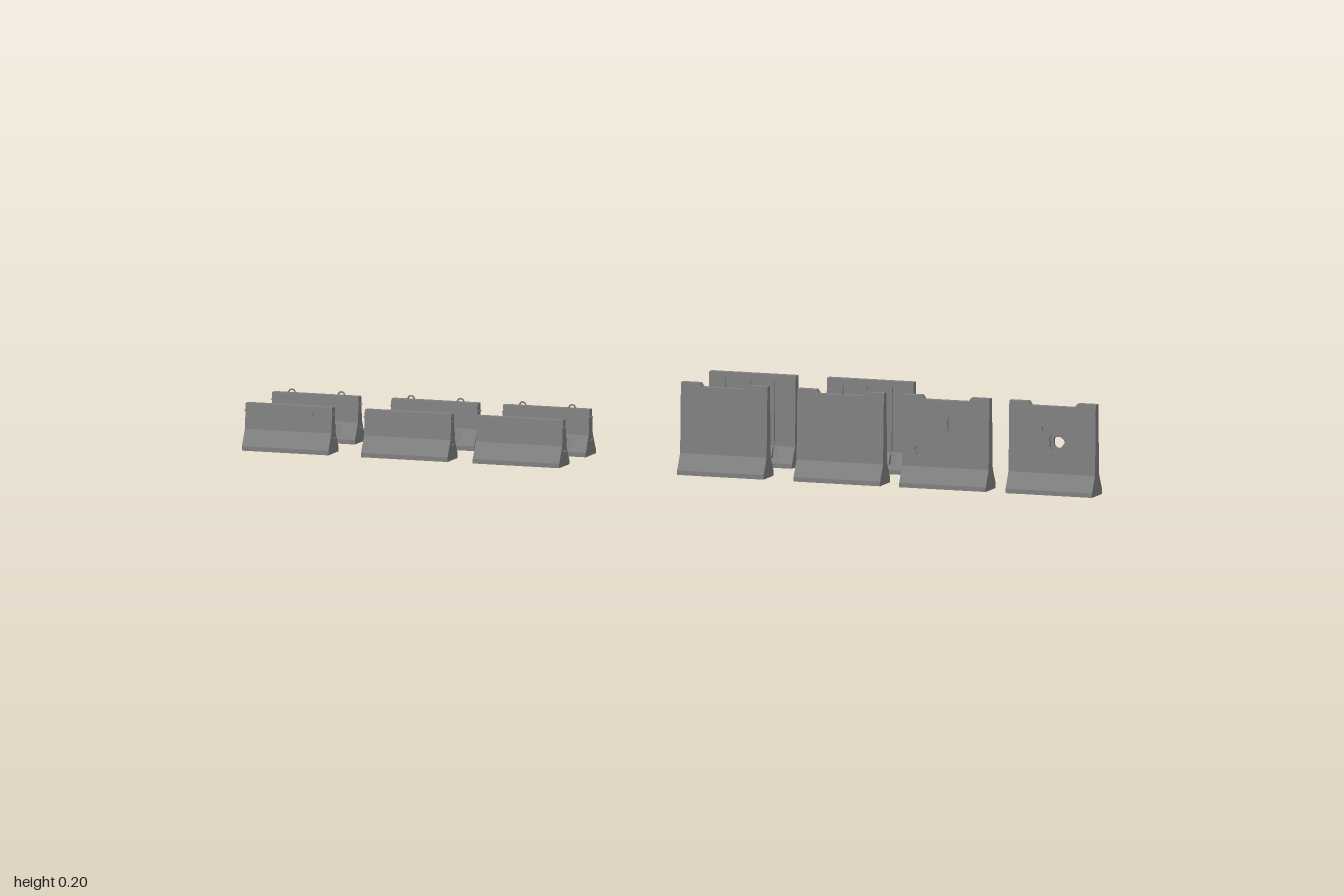
import * as THREE from 'three';

const concrete = new THREE.MeshStandardMaterial({ color: 0x808080 });
concrete.name = 'concrete grey';

const WIDTH = 0.203;
const FOOT = 0.01, WAIST = 0.046;           // heights where the profile bends
const HALF = [0.032, 0.032, 0.013, 0.008];  // half thickness at ground, foot, waist, top

function halfThickness(y, height) {
  const ys = [0, FOOT, WAIST, height];
  let i = 0;
  while (i < 2 && y > ys[i + 1] + 1e-6) i++;
  return THREE.MathUtils.lerp(HALF[i], HALF[i + 1], (y - ys[i]) / (ys[i + 1] - ys[i]));
}

const polygon = (pts) => pts.map(([x, y]) => new THREE.Vector2(x, y));
const rect = (x0, y0, x1, y1) => polygon([[x0, y0], [x1, y0], [x1, y1], [x0, y1]]);

// Chipped, slightly irregular round opening
function crater(x, y, rx, ry = rx, tilt = 0) {
  const pts = [];
  for (let i = 0; i < 14; i++) {
    const a = (i / 14) * Math.PI * 2;
    const k = 1 + 0.08 * Math.sin(3 * a + 1) + 0.06 * Math.cos(5 * a);
    const u = Math.cos(a) * rx * k, v = Math.sin(a) * ry * k;
    pts.push([x + u * Math.cos(tilt) - v * Math.sin(tilt), y + u * Math.sin(tilt) + v * Math.cos(tilt)]);
  }
  return polygon(pts);
}

// Outline extruded between two fractions of the tapering thickness
function slab(name, outline, holes, f0, f1, height) {
  const shape = new THREE.Shape(outline);
  holes.forEach((h) => shape.holes.push(new THREE.Path(h)));
  const geo = new THREE.ExtrudeGeometry(shape, { depth: f1 - f0, bevelEnabled: false });
  const p = geo.attributes.position;
  for (let i = 0; i < p.count; i++) {
    p.setZ(i, (p.getZ(i) + f0) * halfThickness(p.getY(i), height));
  }
  geo.computeVertexNormals();
  const mesh = new THREE.Mesh(geo, concrete);
  mesh.name = name;
  return mesh;
}

// Outer layers carry recesses; the core carries only through holes
function layered(group, name, outline, height, depth, { front = [], back = [], core = [] }) {
  group.add(
    slab(name + 'Front', outline, front, 1 - depth, 1, height),
    slab(name + 'Core', outline, core, depth - 1, 1 - depth, height),
    slab(name + 'Back', outline, back, -1, depth - 1, height),
  );
}

function barrier(name, x, z, height, { notch = 0, body = {}, pockets = [], depth = 0.4 }) {
  const g = new THREE.Group();
  g.name = name;
  g.position.set(x, 0, z);
  const w = WIDTH / 2;
  g.add(slab('foot', rect(-w, 0, w, FOOT), [], -1, 1, height));
  layered(g, 'slope', rect(-w, FOOT, w, WAIST), height, 0.45, { front: pockets, back: pockets });
  const top = [[-w, WAIST], [w, WAIST], [w, height]];
  if (notch) {
    top.push([0.058, height], [0.052, height - notch], [-0.052, height - notch], [-0.058, height]);
  }
  top.push([-w, height]);
  layered(g, 'wall', polygon(top), height, depth, body);
  return g;
}

// Small steel-bar loop half buried in the surface
function loop(name, x, y, rotation) {
  const mesh = new THREE.Mesh(new THREE.TorusGeometry(0.0075, 0.0018, 6, 10, Math.PI), concrete);
  mesh.name = name;
  mesh.position.set(x, y, 0);
  mesh.rotation.set(...rotation);
  return mesh;
}

function addEndLoops(g) {
  for (const s of [-1, 1]) {
    for (const y of [0.034, 0.086]) {
      const l = loop('endLoop', s * (WIDTH / 2 - 0.002), y, [Math.PI / 2, 0, -s * Math.PI / 2]);
      l.scale.set(0.8, 0.8, 0.8);
      g.add(l);
    }
  }
}

export function createModel() {
  const model = new THREE.Group();
  model.name = 'concreteBarriers';
  const SHORT = 0.103, TALL = 0.2036, Z = 0.0855;
  const offsets = [-0.058, 0, 0.058];

  // Short barriers: plain in front, with pockets and lifting loops behind
  [-0.8935, -0.614, -0.352].forEach((x, i) => {
    const plain = barrier('shortBarrier', x, Z - 0.002, SHORT, {
      body: i === 0 ? { front: [crater(0.062, 0.084, 0.007)] } : {},
    });
    addEndLoops(plain);

    const hole = crater(-0.026, 0.068, 0.009), rim = crater(-0.026, 0.068, 0.013);
    const lifted = barrier('shortLiftingBarrier', x, -Z, SHORT, {
      pockets: offsets.map((o) => rect(o - 0.009, 0.017, o + 0.009, 0.039)),
      body: i === 0 ? {
        front: [rim], core: [hole], back: [rim, crater(0.006, 0.083, 0.005)],
      } : {},
    });
    addEndLoops(lifted);
    for (const o of [-0.058, 0.058]) lifted.add(loop('liftingLoop', o, SHORT, [0, 0, 0]));
    model.add(plain, lifted);
  });

  // Tall front walls with a shallow notch in the top, two of them damaged
  const hit = crater(0.013, 0.115, 0.021), through = crater(0.013, 0.115, 0.013);
  const chip = crater(-0.018, 0.143, 0.007);
  const damage = [
    {},
    {},
    { front: [crater(0.02, 0.14, 0.019, 0.02), crater(-0.05, 0.085, 0.025, 0.013, 0.35)] },
    { front: [hit, chip], core: [through], back: [crater(0.013, 0.115, 0.016), chip] },
  ];
  [0.128, 0.402, 0.649, 0.8985].forEach((x, i) => {
    model.add(barrier('tallWall', x, i === 1 ? Z + 0.001 : Z - 0.001, TALL, {
      notch: 0.009, body: damage[i], depth: 0.6,
    }));
  });

  // Tall rear walls with three vertical grooves on both faces
  const grooves = offsets.map((o) => rect(o - 0.006, WAIST + 0.002, o + 0.006, 0.19));
  const shot = crater(-0.029, 0.108, 0.015), shotCore = crater(-0.029, 0.108, 0.011);
  [0.132, 0.408].forEach((x, i) => {
    model.add(barrier('tallGroovedWall', x, -Z, TALL, {
      pockets: offsets.map((o) => rect(o - 0.008, 0.02, o + 0.008, 0.043)),
      body: {
        front: i ? [...grooves, shot] : grooves,
        back: i ? [...grooves, shot] : grooves,
        core: i ? [shotCore] : [],
      },
    }));
  });
  return model;
}
